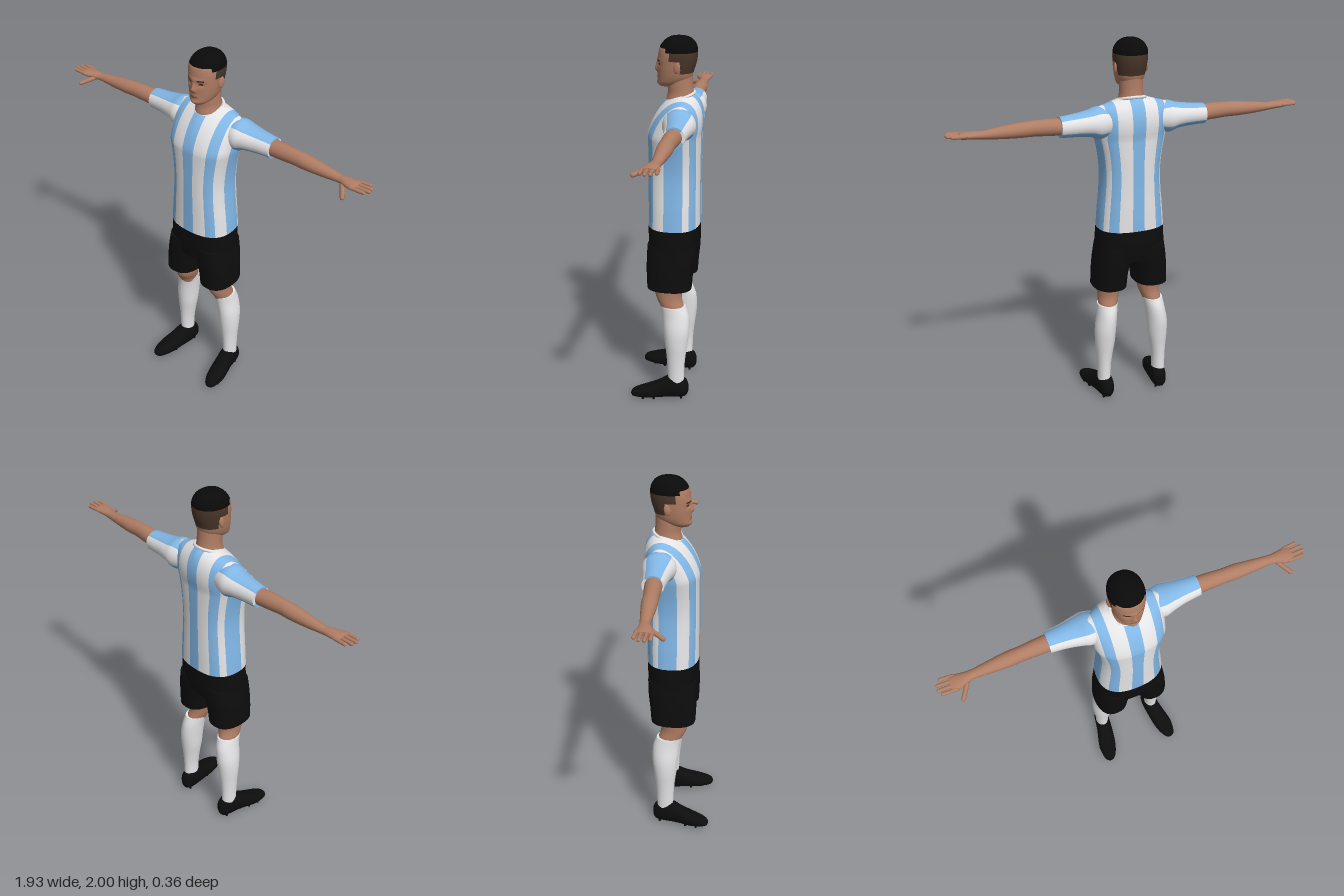
import * as THREE from 'three';

const mat = (name, color) => {
  const m = new THREE.MeshStandardMaterial({ color });
  m.name = name;
  return m;
};
const M = {
  skin: mat('skin', 0xb07d64), black: mat('black cloth', 0x0d0d0d), hair: mat('hair', 0x0b0a0a),
  fade: mat('short hair', 0x49362a), blue: mat('shirt blue', 0x84baea), white: mat('white', 0xeeeef0),
  brow: mat('brow', 0x3b281f), lips: mat('lips', 0x8f5a4b),
};

// Smoothly resample sections [along, centreA, centreB, halfA, halfB]
function smooth(secs, m) {
  const out = [], n = secs.length, at = i => secs[Math.max(0, Math.min(n - 1, i))];
  for (let i = 0; i < n - 1; i++) for (let k = 0; k < m; k++) {
    const t = k / m;
    out.push(secs[i].map((p1, c) => {
      const p0 = at(i - 1)[c], p2 = at(i + 1)[c], p3 = at(i + 2)[c];
      return p1 + 0.5 * t * (p2 - p0 + t * (2 * p0 - 5 * p1 + 4 * p2 - p3 + t * (3 * (p1 - p2) + p3 - p0)));
    }));
  }
  out.push(secs[n - 1]);
  return out;
}

const spow = (v, e) => Math.sign(v) * Math.pow(Math.abs(v), e);
const evenAngles = n => Array.from({ length: n }, (_, j) => (j / n) * Math.PI * 2);

// One superellipse ring; axis says which way the sections are stacked
function ring(axis, [s, ca, cb, ha, hb], n, angles) {
  return angles.map(t => {
    const a = ca + ha * spow(Math.sin(t), 2 / n), b = cb + hb * spow(Math.cos(t), 2 / n);
    return axis === 'y' ? new THREE.Vector3(a, s, b)
      : axis === 'x' ? new THREE.Vector3(s, b, a) : new THREE.Vector3(a, b, s);
  });
}

// Closed skin over rows of points; paint(centre, i, j) picks the material of each quad
function skinOver(name, rows, paint) {
  const pts = rows.flat(), w = rows[0].length, lists = new Map(), tris = [];
  const add = (m, a, b, c) => tris.push([m, a, b, c]);
  const centre = new THREE.Vector3();
  for (let i = 0; i < rows.length - 1; i++) for (let j = 0; j < w; j++) {
    const a = i * w + j, b = i * w + (j + 1) % w, c = a + w, d = b + w;
    centre.copy(pts[a]).add(pts[b]).add(pts[c]).add(pts[d]).multiplyScalar(0.25);
    const m = paint(centre, i, j);
    add(m, a, b, d);
    add(m, a, d, c);
  }
  // End caps on their own vertices keep the rims crisp
  [0, rows.length - 1].forEach(i => {
    const base = pts.length, mid = new THREE.Vector3();
    rows[i].forEach(p => { mid.add(p); pts.push(p.clone()); });
    pts.push(mid.divideScalar(w));
    for (let j = 0; j < w; j++) {
      const p = base + j, q = base + (j + 1) % w, m = paint(rows[i][j], Math.min(i, rows.length - 2), j);
      i ? add(m, p, q, base + w) : add(m, q, p, base + w);
    }
  });
  // Turn the faces outward whichever way the rows run
  const v = new THREE.Vector3();
  let volume = 0;
  tris.forEach(([, a, b, c]) => { volume += pts[a].dot(v.crossVectors(pts[b], pts[c])); });
  tris.forEach(([m, a, b, c]) => {
    if (!lists.has(m)) lists.set(m, []);
    lists.get(m).push(...(volume > 0 ? [a, b, c] : [a, c, b]));
  });
  const g = new THREE.BufferGeometry().setFromPoints(pts), index = [], mats = [...lists.keys()];
  mats.forEach((m, k) => {
    g.addGroup(index.length, lists.get(m).length, k);
    lists.get(m).forEach(x => index.push(x));
  });
  g.setIndex(index);
  g.computeVertexNormals();
  const mesh = new THREE.Mesh(g, mats.length > 1 ? mats : mats[0]);
  mesh.name = name;
  return mesh;
}

function loft(name, axis, secs, paint, { n = 2, m = 4, angles = evenAngles(32), side = 1, warp } = {}) {
  const rows = smooth(secs, m).map(s => ring(axis, s, n, angles));
  rows.flat().forEach(p => { if (warp) warp(p); p.x *= side; });
  return skinOver(name, rows, paint.isMaterial ? () => paint : paint);
}

function capsule(name, a, b, r, material) {
  const d = b.clone().sub(a);
  const mesh = new THREE.Mesh(new THREE.CapsuleGeometry(r, d.length(), 4, 10), material);
  mesh.position.copy(a).add(b).multiplyScalar(0.5);
  mesh.quaternion.setFromUnitVectors(new THREE.Vector3(0, 1, 0), d.normalize());
  mesh.name = name;
  return mesh;
}

// Striped shirt body: columns follow the stripe edges and close on the shoulder line
function shirtBody() {
  const edges = [0, 7, 30, 52, 80, 112, 128, 150, 173, 180], half = [], colours = [];
  for (let k = 0; k < 9; k++) for (let q = 0; q < 4; q++) {
    half.push((edges[k] + (edges[k + 1] - edges[k]) * q / 4) * Math.PI / 180);
    colours.push(k % 2 ? M.white : M.blue);
  }
  const angles = [...half, Math.PI, ...half.slice(1).reverse().map(a => 2 * Math.PI - a)];
  const paints = [...colours, ...colours.slice().reverse()];
  const rows = smooth([[1, 0, -0.035, 0.182, 0.14], [1.1, 0, -0.035, 0.174, 0.14], [1.2, 0, -0.034, 0.164, 0.14],
    [1.3, 0, -0.034, 0.159, 0.14], [1.4, 0, -0.035, 0.168, 0.14], [1.5, 0, -0.035, 0.188, 0.14]], 4)
    .map(s => ring('y', s, 2.5, angles));
  const chest = rows[rows.length - 1];
  for (let k = 1; k <= 14; k++) {
    const t = (k / 14) * Math.PI / 2, up = Math.sin(t);
    rows.push(chest.map(p => new THREE.Vector3(p.x * (1 + 0.04 * up),
      1.5 + (0.22 - 0.3 * Math.abs(p.x)) * up, -0.035 - 0.05 * up + (p.z + 0.035) * Math.cos(t))));
  }
  return skinOver('shirtBody', rows, (c, i, j) => paints[j]);
}

// Facial relief and painted features
const bell = (v, w) => Math.exp(-(v * v) / (w * w));
function faceRelief(p) {
  if (p.z < -0.01) return;
  const x = Math.abs(p.x), y = p.y;
  p.z += 0.016 * bell(x, 0.013) * bell(y - 1.827, 0.016) + 0.009 * bell(x, 0.011) * bell(y - 1.852, 0.02)
    - 0.007 * bell(x - 0.034, 0.016) * bell(y - 1.856, 0.012) + 0.004 * bell(x, 0.05) * bell(y - 1.88, 0.01)
    + 0.005 * bell(x, 0.02) * bell(y - 1.79, 0.01) + 0.007 * bell(x, 0.025) * bell(y - 1.758, 0.012);
}
function facePaint(c) {
  const x = Math.abs(c.x), { y, z } = c;
  if (y > 1.942 || (y > 1.922 && z < 0.005)) return M.hair;
  if ((y > 1.88 && z < -0.015) || (y > 1.815 && z < -0.07)) return M.fade;
  if (z > 0) {
    if (((x - 0.034) / 0.012) ** 2 + ((y - 1.857) / 0.005) ** 2 < 1) return M.brow;
    if (x > 0.018 && x < 0.052 && Math.abs(y - 1.876) < 0.004) return M.brow;
    if ((x / 0.024) ** 2 + ((y - 1.789) / 0.006) ** 2 < 1) return M.lips;
  }
  return M.skin;
}

function arm(side) {
  const g = new THREE.Group();
  g.name = side > 0 ? 'leftArm' : 'rightArm';
  const V = (x, y, z) => new THREE.Vector3(x * side, y, z);
  // Sleeve: blue above and below, white front and back
  g.add(loft('sleeve', 'x', [[0.13, -0.085, 1.585, 0.07, 0.07], [0.19, -0.085, 1.585, 0.086, 0.083],
    [0.24, -0.088, 1.587, 0.078, 0.068], [0.31, -0.09, 1.585, 0.064, 0.059], [0.395, -0.092, 1.582, 0.055, 0.053]],
  (c, i, j) => (j < 6 || j >= 42 || (j >= 16 && j < 32) ? M.blue : M.white), { angles: evenAngles(48), side }));
  g.add(loft('bareArm', 'x', [[0.36, -0.09, 1.583, 0.044, 0.043], [0.45, -0.086, 1.587, 0.042, 0.043],
    [0.53, -0.083, 1.588, 0.038, 0.04], [0.6, -0.082, 1.586, 0.039, 0.038], [0.7, -0.08, 1.582, 0.031, 0.03],
    [0.78, -0.078, 1.58, 0.025, 0.021], [0.82, -0.073, 1.582, 0.031, 0.02], [0.87, -0.068, 1.584, 0.042, 0.017],
    [0.895, -0.068, 1.585, 0.039, 0.012]], M.skin, { side }));
  [[-0.104, 0.935], [-0.08, 0.955], [-0.056, 0.958], [-0.033, 0.945]].forEach(([z, tip], k) =>
    g.add(capsule('finger' + (k + 1), V(0.87, 1.586, z), V(tip - 0.002, 1.588, z * 1.04), 0.0092, M.skin)));
  g.add(capsule('thumb', V(0.815, 1.572, -0.055), V(0.862, 1.55, 0.012), 0.0115, M.skin));
  return g;
}

function leg(side) {
  const g = new THREE.Group();
  g.name = side > 0 ? 'leftLeg' : 'rightLeg';
  g.add(loft('shortsLeg', 'y', [[0.66, 0.118, -0.025, 0.091, 0.12], [0.74, 0.112, -0.026, 0.093, 0.125],
    [0.82, 0.1, -0.03, 0.098, 0.13], [0.9, 0.09, -0.033, 0.095, 0.13]], M.black, { n: 2.4, side }));
  g.add(loft('knee', 'y', [[0.5, 0.136, -0.055, 0.046, 0.06], [0.55, 0.13, -0.042, 0.05, 0.064],
    [0.6, 0.119, -0.022, 0.057, 0.07], [0.66, 0.116, -0.02, 0.062, 0.076], [0.74, 0.113, -0.02, 0.068, 0.082]],
  M.skin, { side }));
  g.add(loft('sock', 'y', [[0.08, 0.163, -0.07, 0.036, 0.045], [0.18, 0.163, -0.068, 0.037, 0.047],
    [0.26, 0.16, -0.068, 0.044, 0.053], [0.34, 0.156, -0.068, 0.054, 0.063], [0.42, 0.152, -0.068, 0.057, 0.071],
    [0.5, 0.141, -0.062, 0.054, 0.073], [0.555, 0.133, -0.047, 0.054, 0.069]], M.white, { side }));
  g.add(loft('shoe', 'z', [[-0.137, 0.158, 0.06, 0.01, 0.025], [-0.122, 0.158, 0.062, 0.034, 0.05],
    [-0.08, 0.16, 0.07, 0.043, 0.068], [-0.03, 0.166, 0.068, 0.046, 0.066], [0.02, 0.176, 0.055, 0.05, 0.05],
    [0.08, 0.188, 0.042, 0.052, 0.038], [0.13, 0.195, 0.035, 0.043, 0.029], [0.165, 0.2, 0.03, 0.028, 0.02],
    [0.178, 0.2, 0.027, 0.01, 0.008]], M.black, { n: 2.3, side, warp: p => { p.y = Math.max(p.y, 0.01); } }));
  // Studs under the sole
  [[0.14, -0.1], [0.178, -0.1], [0.155, 0.05], [0.21, 0.05], [0.175, 0.11], [0.22, 0.11]].forEach(([x, z]) => {
    const stud = new THREE.Mesh(new THREE.CylinderGeometry(0.009, 0.006, 0.02, 10), M.black);
    stud.position.set(x * side, 0.01, z);
    stud.name = 'stud';
    g.add(stud);
  });
  return g;
}

export function createModel() {
  const model = new THREE.Group();
  model.name = 'footballer';
  model.add(shirtBody());
  // Head, ears, neck and collar
  model.add(loft('head', 'y', [[1.742, 0, 0.005, 0.03, 0.04], [1.76, 0, -0.012, 0.055, 0.066],
    [1.79, 0, -0.032, 0.07, 0.086], [1.83, 0, -0.039, 0.079, 0.093], [1.87, 0, -0.045, 0.084, 0.099],
    [1.91, 0, -0.049, 0.087, 0.1], [1.945, 0, -0.052, 0.083, 0.094], [1.975, 0, -0.055, 0.065, 0.074],
    [1.993, 0, -0.055, 0.038, 0.045], [2, 0, -0.055, 0.004, 0.005]], facePaint,
  { n: 2.15, m: 12, angles: evenAngles(120), warp: faceRelief }));
  model.add(loft('neck', 'y', [[1.62, 0, -0.062, 0.085, 0.08], [1.67, 0, -0.062, 0.073, 0.075],
    [1.71, 0, -0.063, 0.063, 0.067], [1.75, 0, -0.06, 0.061, 0.065], [1.81, 0, -0.06, 0.06, 0.064]], M.skin));
  const collar = new THREE.Mesh(new THREE.TorusGeometry(0.074, 0.008, 8, 40), M.white);
  collar.rotation.x = Math.PI / 2 + 0.3;
  collar.position.set(0, 1.688, -0.064);
  collar.name = 'collar';
  model.add(collar);
  // Upper part of the shorts
  model.add(loft('shortsWaist', 'y', [[0.82, 0, -0.031, 0.19, 0.125], [0.9, 0, -0.034, 0.188, 0.135],
    [1.004, 0, -0.035, 0.18, 0.138]], M.black, { n: 2.5, angles: evenAngles(48) }));
  for (const side of [1, -1]) {
    const ear = new THREE.Mesh(new THREE.SphereGeometry(1, 16, 12), M.skin);
    ear.scale.set(0.009, 0.03, 0.018);
    ear.position.set(side * 0.083, 1.85, -0.055);
    ear.rotation.set(-0.15, side * -0.3, 0);
    ear.name = side > 0 ? 'leftEar' : 'rightEar';
    model.add(ear, arm(side), leg(side));
  }
  return model;
}
